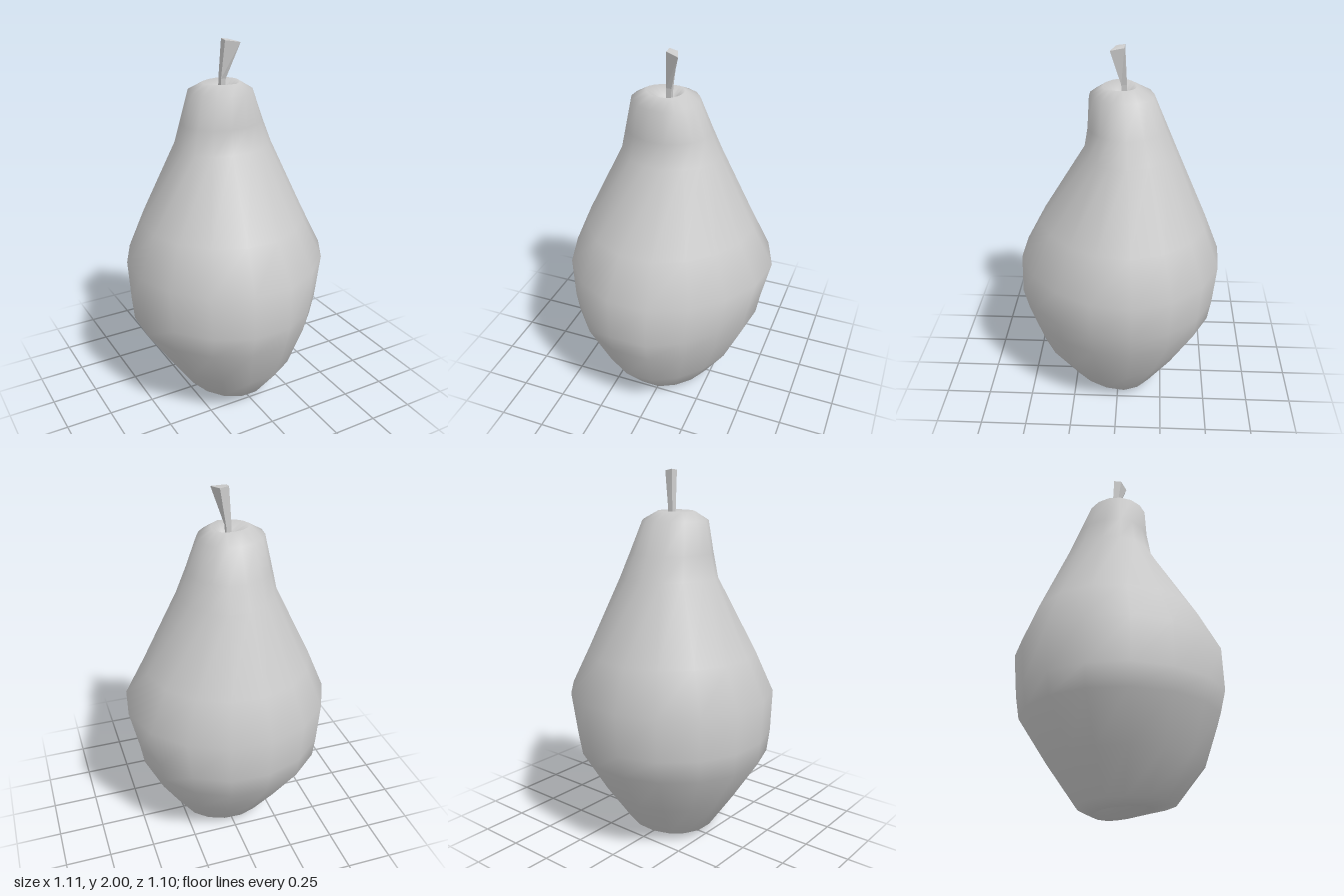
import * as THREE from 'three';

const grey = (flatShading = false) => new THREE.MeshStandardMaterial({ color: 0xcccccc, flatShading });

// Joins rings of points (listed bottom to top) into one indexed surface
function loft(rings) {
  const n = rings[0].length, index = [];
  for (let r = 0; r < rings.length - 1; r++) {
    for (let i = 0; i < n; i++) {
      const a = r * n + i, b = r * n + (i + 1) % n;
      index.push(a, a + n, b, b, a + n, b + n);
    }
  }
  const geo = new THREE.BufferGeometry();
  geo.setAttribute('position', new THREE.Float32BufferAttribute(rings.flat(2), 3));
  geo.setIndex(index);
  geo.computeVertexNormals();
  return geo;
}

// Lopsided oval ring: separate reach towards -x, +x, -z and +z
function bodyRing([y, x0, x1, z0, z1, tilt = 0]) {
  const sides = 16, cx = -0.01, cz = -0.01, pts = [];
  for (let i = 0; i < sides; i++) {
    const a = (i / sides) * Math.PI * 2 - 0.14;
    const c = Math.cos(a), s = Math.sin(a);
    // the front left side is a little flatter
    const k = c > 0 && s > 0 ? 1 - 0.07 * Math.sin(2 * a) : 1;
    const x = cx + c * k * (c > 0 ? x1 - cx : cx - x0);
    const z = cz + s * k * (s > 0 ? z1 - cz : cz - z0);
    pts.push([x, y + tilt * z, z]);
  }
  return pts;
}

export function createModel() {
  const group = new THREE.Group();
  group.name = 'pear';

  // Body, from the hollow underneath to the hollow at the stem
  const body = new THREE.Mesh(loft([
    // y, -x, +x, -z, +z, tilt
    [0.10, -0.01, -0.01, -0.01, -0.01],
    [0.06, -0.08, 0.07, -0.07, 0.07, 0.1],
    [0.015, -0.16, 0.18, -0.14, 0.17, 0.1],
    [0.045, -0.25, 0.25, -0.22, 0.29, 0.02],
    [0.25, -0.39, 0.385, -0.37, 0.45],
    [0.48, -0.54, 0.49, -0.52, 0.53],
    [0.60, -0.55, 0.51, -0.54, 0.56],
    [0.83, -0.563, 0.56, -0.56, 0.552],
    [1.05, -0.47, 0.445, -0.475, 0.435],
    [1.45, -0.277, 0.255, -0.305, 0.188],
    [1.58, -0.25, 0.20, -0.25, 0.165],
    [1.745, -0.215, 0.135, -0.18, 0.155],
    [1.79, -0.14, 0.06, -0.09, 0.085],
    [1.75, -0.07, 0.02, -0.06, 0.03],
    [1.72, -0.01, -0.01, -0.01, -0.01],
  ].map(bodyRing)), grey());
  body.name = 'body';
  group.add(body);

  // Stem: four-sided, leaning and widening to a slanted cut
  const top = [[0.047, 1.985, 0.042], [-0.025, 1.995, 0.012], [-0.025, 2.0, -0.03], [0.02, 1.992, -0.028]];
  const square = (x, y, z, r) => [[r, r], [-r, r], [-r, -r], [r, -r]].map(([dx, dz]) => [x + dx, y, z + dz]);
  const stem = new THREE.Mesh(loft([
    square(-0.025, 1.70, -0.03, 0.012),
    square(-0.022, 1.80, -0.025, 0.014),
    top,
    top.map(() => [0.004, 1.994, -0.001]),
  ]), grey(true));
  stem.name = 'stem';
  group.add(stem);

  return group;
}
